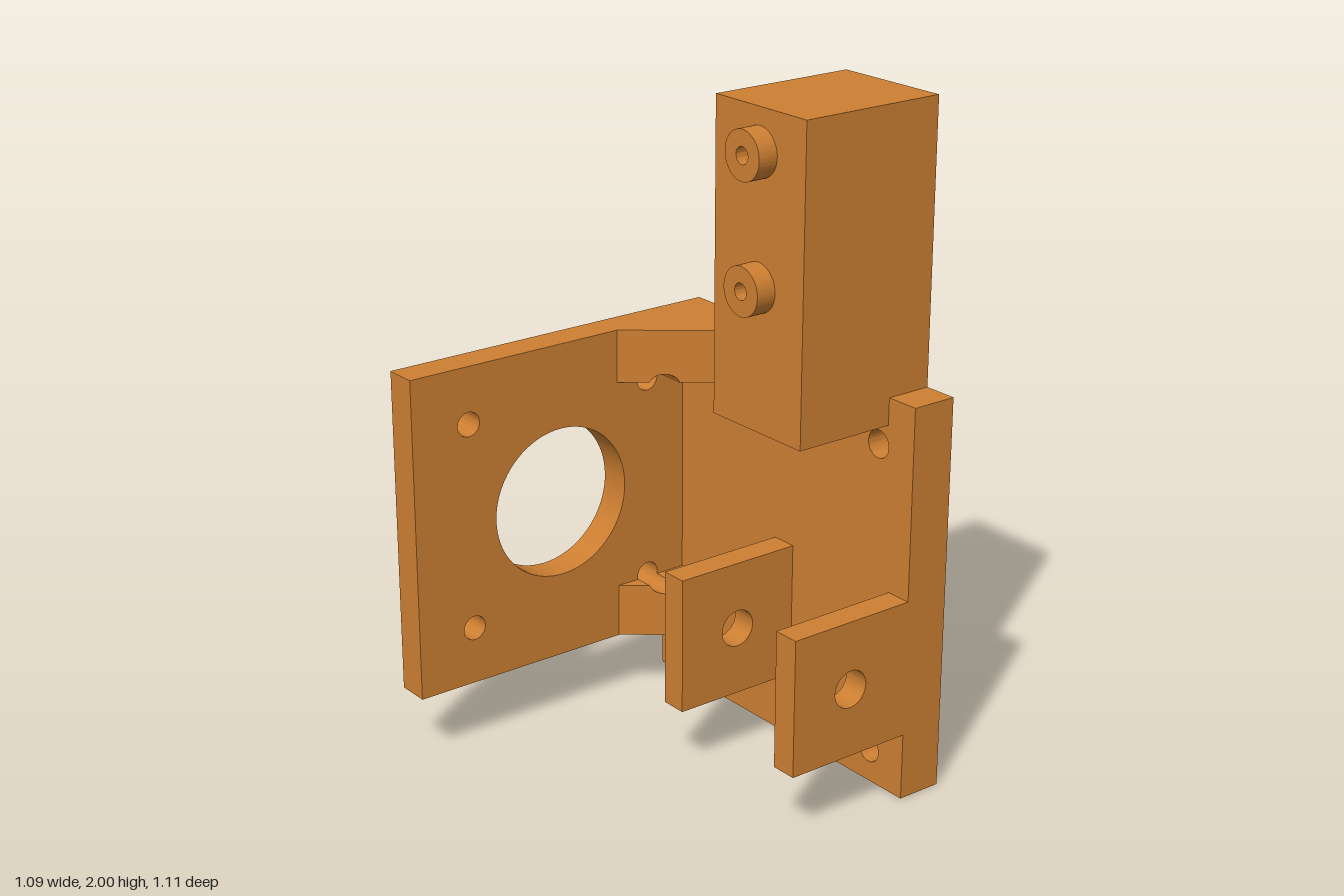
import * as THREE from 'three';
import { toCreasedNormals } from 'three/addons/utils/BufferGeometryUtils.js';

const bronze = new THREE.MeshStandardMaterial({ color: 0xcd7f32 });
bronze.name = 'bronze';

// Rectangle with round holes [x, y, radius]
function rectShape(x0, y0, x1, y1, holes = []) {
  const s = new THREE.Shape([[x0, y0], [x1, y0], [x1, y1], [x0, y1]].map(p => new THREE.Vector2(...p)));
  for (const [x, y, r] of holes) s.holes.push(new THREE.Path().absarc(x, y, r, 0, Math.PI * 2, true));
  return s;
}

const extrude = (shape, depth) =>
  new THREE.ExtrudeGeometry(shape, { depth, bevelEnabled: false, curveSegments: 40 });

export function createModel() {
  const model = new THREE.Group();
  model.name = 'motorBracket';
  const add = (name, geo) => {
    const mesh = new THREE.Mesh(toCreasedNormals(geo, 0.5), bronze);
    mesh.name = name;
    model.add(mesh);
    return mesh;
  };

  // Tall side plate with four mounting holes (drawn in -z, y and turned to face +x)
  const sideHoles = [[-0.415, 1.04], [0.175, 1.06], [-0.415, 0.102], [0.175, 0.102]].map(p => [...p, 0.041]);
  add('sidePlate', extrude(rectShape(-0.555, 0, 0.555, 1.185, sideHoles), 0.14)
    .rotateY(Math.PI / 2).translate(0.406, 0, 0));

  // Motor plate at the back with a large bore and four screw holes
  const r = 0.037, screws = [];
  for (const x of [-0.36, 0.272]) for (const y of [0.378, 1.012]) screws.push([x, y, r]);
  add('motorPlate', extrude(rectShape(-0.548, 0.203, 0.406, 1.185, [[-0.044, 0.695, 0.231], ...screws]), 0.1)
    .translate(0, 0, -0.556));

  // Corner gussets: block notched by the screw hole, its front sheared to a slope
  const gx0 = 0.162, gx1 = 0.406, cx = 0.272;
  function gusset(name, yOuter, yInner, holeY) {
    const up = Math.sign(yOuter - yInner);
    const h = yInner - holeY, a = Math.asin(h / r);
    const s = new THREE.Shape();
    s.moveTo(gx0, yOuter);
    s.lineTo(gx0, yInner);
    // the notch runs through the gusset on its own side of the inner edge
    s.absarc(cx, holeY, r, Math.PI - a, a, up > 0);
    s.lineTo(gx1, yInner);
    s.lineTo(gx1, yOuter);
    const geo = extrude(s, 1);
    const p = geo.attributes.position;
    for (let i = 0; i < p.count; i++) {
      p.setZ(i, -0.456 + p.getZ(i) * 0.192 * (p.getX(i) - gx0) / (gx1 - gx0));
    }
    add(name, geo);
  }
  gusset('upperGusset', 1.185, 1.023, 1.012);
  gusset('lowerGusset', 0.203, 0.368, 0.378);

  // Pair of pivot lugs
  for (const [name, z] of [['rearLug', -0.015], ['frontLug', 0.475]]) {
    add(name, extrude(rectShape(0, 0.203, 0.406, 0.615, [[0.202, 0.41, 0.056]]), 0.08).translate(0, 0, z));
  }

  // Upright block, stepped to sit over the side plate's top edge
  const block = new THREE.Shape([[0.091, 1.105], [0.406, 1.105], [0.406, 1.185], [0.546, 1.185],
    [0.546, 2], [0.091, 2]].map(p => new THREE.Vector2(...p)));
  add('uprightBlock', extrude(block, 0.366).translate(0, 0, 0.086));

  // Two hollow screw heads on the block
  const head = new THREE.Shape().absarc(0, 0, 0.07, 0, Math.PI * 2);
  head.holes.push(new THREE.Path().absarc(0, 0, 0.024, 0, Math.PI * 2, true));
  for (const [name, y] of [['upperScrewHead', 1.88], ['lowerScrewHead', 1.513]]) {
    add(name, extrude(head, 0.06).rotateY(Math.PI / 2).translate(0.031, y, 0.269));
  }
  return model;
}
